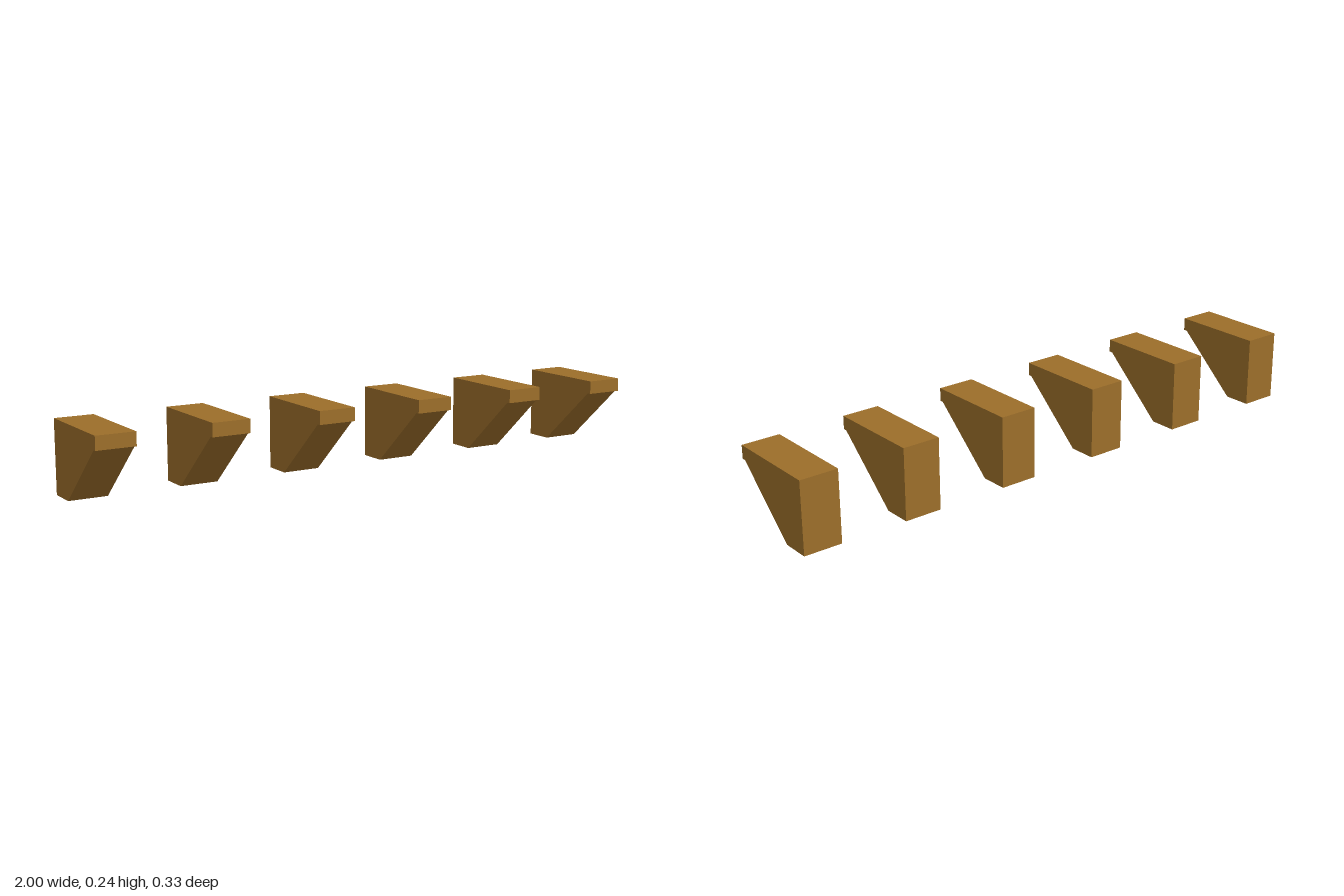
import * as THREE from 'three';

const WIDTH = 0.13;
// Bracket centres along x; the last gap is slightly narrower
const CENTRES = [-0.935, -0.557, -0.18, 0.198, 0.575, 0.935];
// Side profile as (z, y): flat top, short front lip, sloped underside, flat foot
const PROFILE = [
  [-0.165, 0], [-0.07, 0], [0.152, 0.198], [0.165, 0.198], [0.165, 0.243], [-0.165, 0.243],
];

export function createModel() {
  const group = new THREE.Group();
  group.name = 'bracketRow';

  const material = new THREE.MeshStandardMaterial({ color: 0x9c6e2a });

  const shape = new THREE.Shape(PROFILE.map(([z, y]) => new THREE.Vector2(z, y)));
  const geometry = new THREE.ExtrudeGeometry(shape, { depth: WIDTH, bevelEnabled: false });
  geometry.translate(0, 0, -WIDTH / 2);
  geometry.rotateY(-Math.PI / 2); // profile's x axis becomes +z

  // Row of identical wooden brackets
  CENTRES.forEach((x, i) => {
    const bracket = new THREE.Mesh(geometry, material);
    bracket.name = `bracket${i + 1}`;
    bracket.position.x = x;
    group.add(bracket);
  });

  return group;
}
